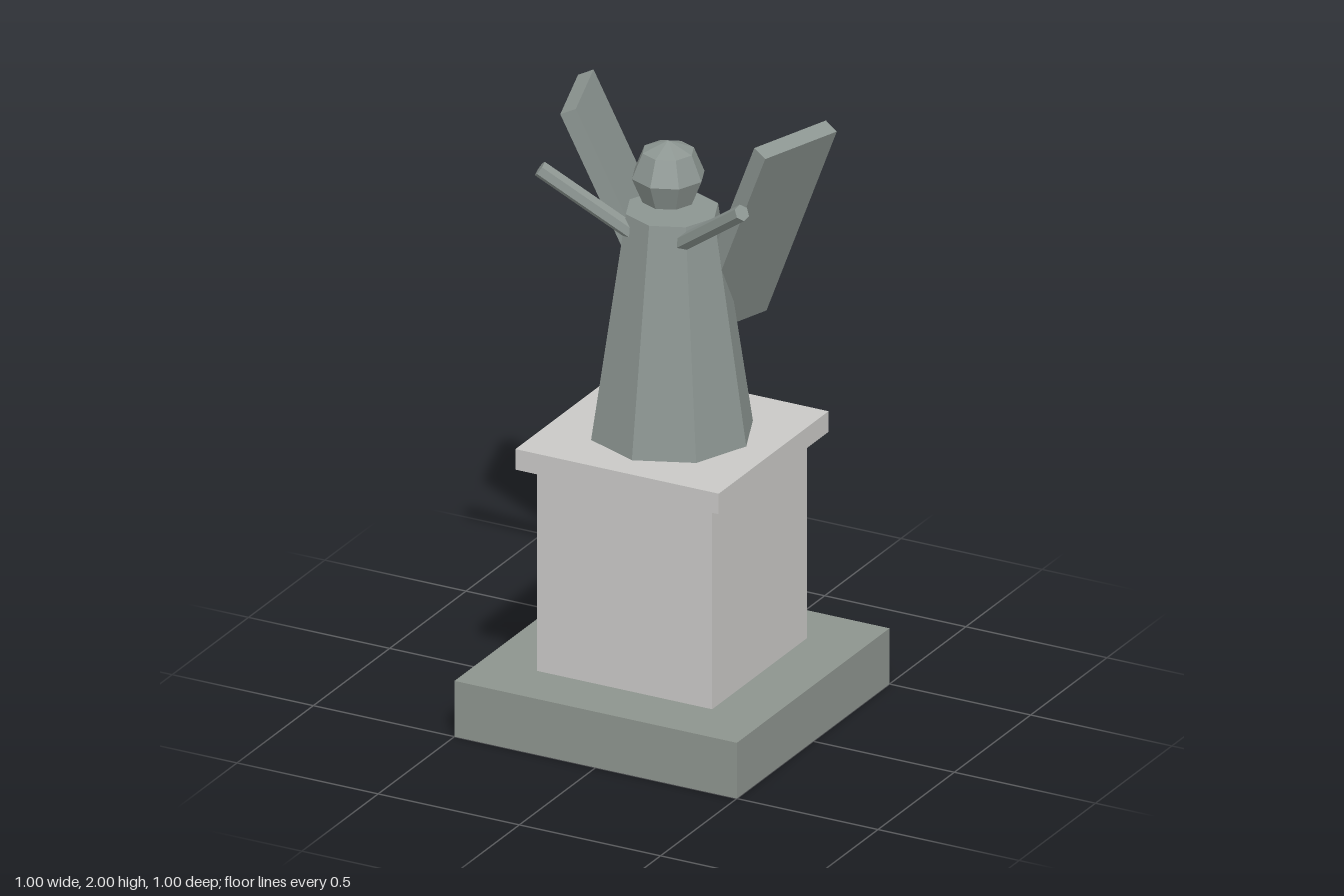
import * as THREE from 'three';

export function createModel() {
  const group = new THREE.Group();
  const material = (name, color) => {
    const m = new THREE.MeshStandardMaterial({ color });
    m.name = name;
    return m;
  };
  const plinthStone = material('grey plinth stone', 0x8d948e);
  const paleStone = material('pale stone', 0xc9c8c6);
  const statueStone = material('statue stone', 0x8c9591);

  const add = (name, geometry, mat, x, y, z) => {
    // split the vertices so every facet shades flat
    const flat = geometry.index ? geometry.toNonIndexed() : geometry;
    flat.computeVertexNormals();
    const mesh = new THREE.Mesh(flat, mat);
    mesh.name = name;
    mesh.position.set(x, y, z);
    group.add(mesh);
    return mesh;
  };

  // Stacked square blocks: name, width, bottom, top, material
  const blocks = [
    ['base', 1, 0, 0.19, plinthStone],
    ['pedestal', 0.62, 0.19, 0.885, paleStone],
    ['pedestalCap', 0.72, 0.885, 0.955, paleStone],
  ];
  for (const [name, width, bottom, top, mat] of blocks) {
    add(name, new THREE.BoxGeometry(width, top - bottom, width), mat, 0, (bottom + top) / 2, 0);
  }

  // Robed figure
  add('robe', new THREE.CylinderGeometry(0.15, 0.263, 0.755, 8), statueStone, 0, 1.3325, 0);
  add('head', new THREE.SphereGeometry(0.118, 8, 4), statueStone, 0, 1.835, 0.025);

  // Raised arms and spread wings, mirrored
  for (const side of [1, -1]) {
    const label = side > 0 ? 'left' : 'right';

    const start = new THREE.Vector3(side * 0.09, 1.652, 0.1);
    const end = new THREE.Vector3(side * 0.358, 1.851, 0.204);
    const along = end.clone().sub(start);
    const mid = start.clone().add(end).multiplyScalar(0.5);
    const arm = add(label + 'Arm', new THREE.CylinderGeometry(0.027, 0.027, along.length(), 6),
      statueStone, mid.x, mid.y, mid.z);
    arm.quaternion.setFromUnitVectors(new THREE.Vector3(0, 1, 0), along.normalize());

    const wing = add(label + 'Wing', new THREE.BoxGeometry(0.054, 0.78, 0.308),
      statueStone, side * 0.236, 1.634, -0.1425);
    wing.rotation.set(0, side * -0.315, side * -0.42, 'YXZ');
  }

  return group;
}
